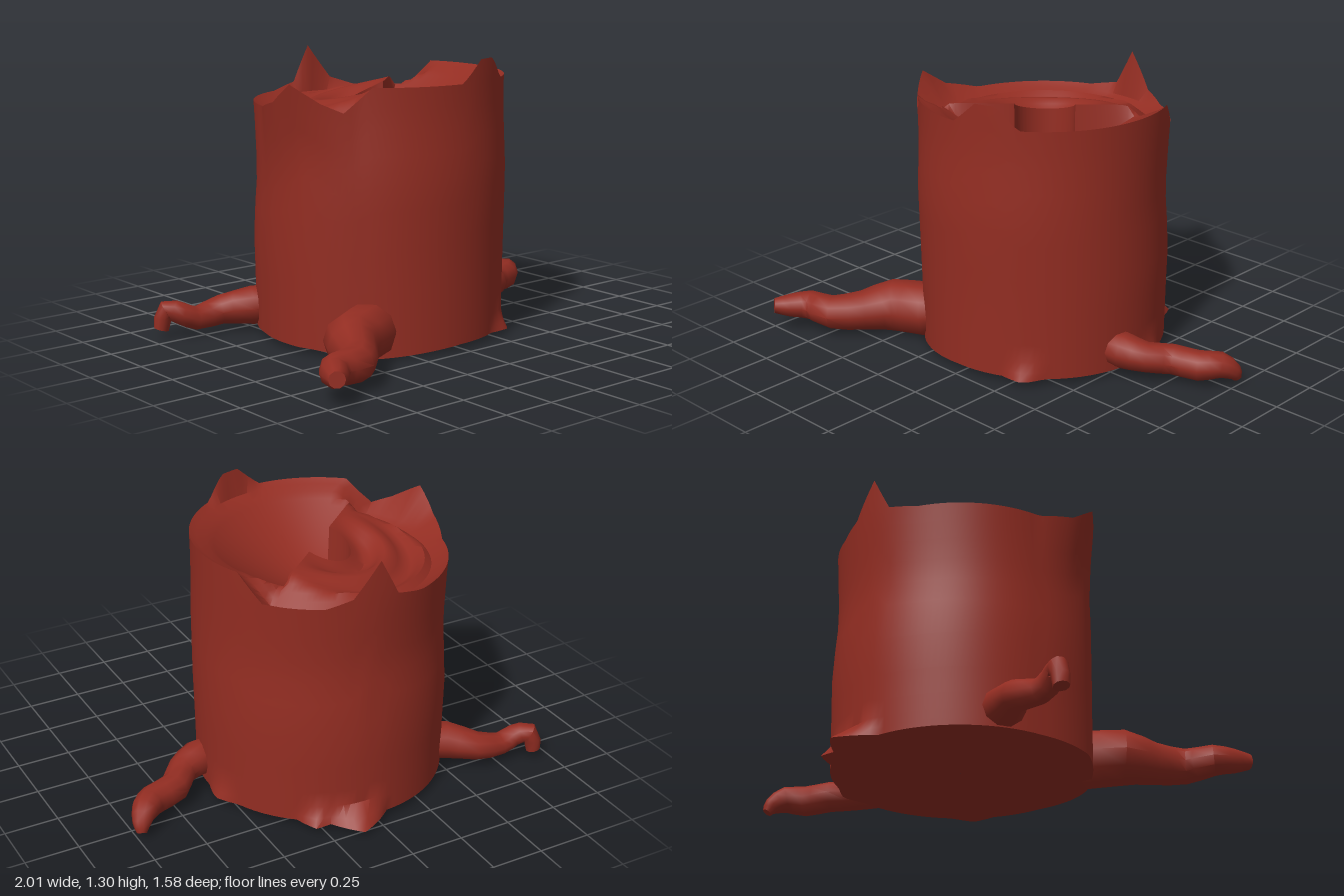
import * as THREE from 'three';
import { toCreasedNormals } from 'three/addons/utils/BufferGeometryUtils.js';

const CX = -0.025, CZ = -0.115, SEG = 120;

// Linear interpolation through [key, value] pairs
function lookup(table, k) {
  for (let i = 1; i < table.length; i++) {
    const [k0, v0] = table[i - 1], [k1, v1] = table[i];
    if (k <= k1) return v0 + (v1 - v0) * Math.max(0, k - k0) / (k1 - k0);
  }
  return table[table.length - 1][1];
}

// Tables by angle in degrees: 0 is the front, 90 is +x
const RIM = [[0, 1.21], [4, 1.24], [12, 1.31], [22, 1.31], [32, 1.21], [114, 1.21], [126, 1.09],
  [153, 1.09], [165, 1.13], [177, 1.29], [186, 1.12], [200, 1.09], [258, 1.09], [273, 1.13],
  [285, 1.22], [297, 1.14], [306, 1.1], [318, 1.21], [360, 1.21]];
const LIP = [[0, 1.19], [112, 1.19], [126, 1.07], [306, 1.07], [320, 1.19], [360, 1.19]];
const RIM_BULGE = [[0, 0], [255, 0], [285, 0.08], [312, 0], [360, 0]];
const FLARE = [[0, 0], [24, 0], [34, 0.05], [44, 0], [90, 0], [101, 0.035], [112, 0], [141, 0],
  [150, 0.065], [156, 0.03], [168, 0.12], [183, 0], [360, 0]];
const BASE = [[0, 0.04], [290, 0.04], [320, 0.01], [345, 0.03], [360, 0.04]];
// Wall radius and forward lean by height
const WALL = [[0.04, 0.575], [0.3, 0.578], [0.5, 0.582], [0.75, 0.574], [1, 0.574], [1.2, 0.577]];
const LEAN = [[0.5, 0], [0.77, 0.02], [1.1, 0]];

// Loops of points joined into a closed skin; each loop is a function of the angle
function loft(loops, segments) {
  const pos = [], idx = [];
  for (const loop of loops)
    for (let j = 0; j < segments; j++) pos.push(...loop(j / segments * 360));
  for (let i = 0; i < loops.length - 1; i++)
    for (let j = 0; j < segments; j++) {
      const a = i * segments + j, b = i * segments + (j + 1) % segments;
      idx.push(a, b, b + segments, a, b + segments, a + segments);
    }
  const g = new THREE.BufferGeometry();
  g.setAttribute('position', new THREE.Float32BufferAttribute(pos, 3));
  g.setIndex(idx);
  return g;
}

const polar = (deg, r, y, lean = 0) => {
  const a = deg * Math.PI / 180;
  return [CX + r * Math.sin(a), y, CZ + lean + r * Math.cos(a)];
};

// Ringed shelf over the back half, smooth sloping hollow in the front half
function insideHeight(deg, r) {
  let y = 0.9 + 0.27 * Math.pow(r / 0.5, 1.4);
  if (deg >= 130 && deg <= 313) {
    const back = Math.sin((deg - 130) / 183 * Math.PI);
    y = 1.155 - back * (0.08 + 0.04 * r - 0.03 * Math.cos((r - 0.3) * 2 * Math.PI / 0.19));
  }
  return Math.min(y, lookup(LIP, deg) - 0.02 + (0.5 - r) * 0.8);
}

function stumpGeometry() {
  const loops = [d => polar(d, 0.001, 0.045), d => polar(d, 0.5, lookup(BASE, d))];
  // Bark wall from the ground to the ragged rim
  for (const t of [0, 0.03, 0.07, 0.14, 0.25, 0.4, 0.55, 0.65, 0.75, 0.84, 0.92, 1])
    loops.push(d => {
      const y0 = lookup(BASE, d), y = y0 + (lookup(RIM, d) - y0) * t;
      const r = lookup(WALL, y) + lookup(FLARE, d) * Math.max(0, 1 - t / 0.07)
        + lookup(RIM_BULGE, d) * (0.3 + 0.7 * Math.max(0, (t - 0.75) / 0.25));
      return polar(d, r, y, lookup(LEAN, y));
    });
  // Inner lip, the inside surface, then the pit in the middle
  loops.push(d => polar(d, 0.545, lookup(LIP, d)));
  for (let i = 0; i <= 12; i++) {
    const r = 0.5 - 0.03 * i;
    loops.push(d => polar(d, r, insideHeight(d, r)));
  }
  loops.push(d => polar(d, 0.135, 0.9), d => polar(d, 0.001, 0.9));
  return loft(loops, SEG);
}

// Root from [x, y, z, radius] stations, with closed ends
function rootGeometry(stations) {
  const curve = new THREE.CatmullRomCurve3(stations.map(s => new THREE.Vector3(s[0], s[1], s[2])));
  const n = (stations.length - 1) * 2, loops = [];
  const radii = stations.map((s, i) => [i / (stations.length - 1), s[3]]);
  const up = new THREE.Vector3(0, 1, 0);
  const ring = (t, scale) => {
    const p = curve.getPoint(t), dir = curve.getTangent(t);
    const side = new THREE.Vector3().crossVectors(up, dir).normalize();
    const top = new THREE.Vector3().crossVectors(dir, side);
    const r = scale * lookup(radii, t);
    return d => {
      const a = d * Math.PI / 180;
      return p.clone().addScaledVector(side, r * Math.cos(a)).addScaledVector(top, r * Math.sin(a)).toArray();
    };
  };
  loops.push(ring(0, 0.01));
  for (let i = 0; i <= n; i++) loops.push(ring(i / n, 1));
  loops.push(ring(1, 0.01));
  return loft(loops, 10);
}

export function createModel() {
  const group = new THREE.Group();
  const bark = new THREE.MeshStandardMaterial({ color: 0x932d22 });
  bark.name = 'redBark';
  const add = (name, geometry) => {
    const mesh = new THREE.Mesh(toCreasedNormals(geometry, 0.8), bark);
    mesh.name = name;
    group.add(mesh);
    return mesh;
  };

  add('stump', stumpGeometry());

  // Small round core sunk in the middle of the rings
  const core = add('core', new THREE.CylinderGeometry(0.14, 0.14, 0.1, 32));
  core.position.set(CX, 0.91, CZ);

  add('frontRightRoot', rootGeometry([
    [-0.25, 0.15, 0.17, 0.07], [-0.42, 0.135, 0.29, 0.13], [-0.57, 0.13, 0.36, 0.125], [-0.65, 0.12, 0.49, 0.095],
    [-0.74, 0.12, 0.605, 0.08], [-0.87, 0.125, 0.63, 0.07], [-0.93, 0.13, 0.71, 0.055], [-0.97, 0.135, 0.77, 0.036]]));
  add('backRightRoot', rootGeometry([
    [-0.36, 0.14, -0.38, 0.08], [-0.53, 0.13, -0.43, 0.09], [-0.65, 0.11, -0.52, 0.068],
    [-0.78, 0.09, -0.53, 0.055], [-0.85, 0.12, -0.54, 0.052], [-0.91, 0.14, -0.58, 0.045], [-0.93, 0.05, -0.59, 0.035]]));
  add('leftRoot', rootGeometry([
    [0.42, 0.14, 0.0, 0.07], [0.56, 0.135, -0.02, 0.085], [0.66, 0.12, -0.06, 0.07], [0.74, 0.105, -0.15, 0.07],
    [0.86, 0.1, -0.19, 0.07], [0.93, 0.105, -0.25, 0.062], [0.97, 0.07, -0.3, 0.042], [0.98, 0.035, -0.32, 0.022]]));

  return group;
}
